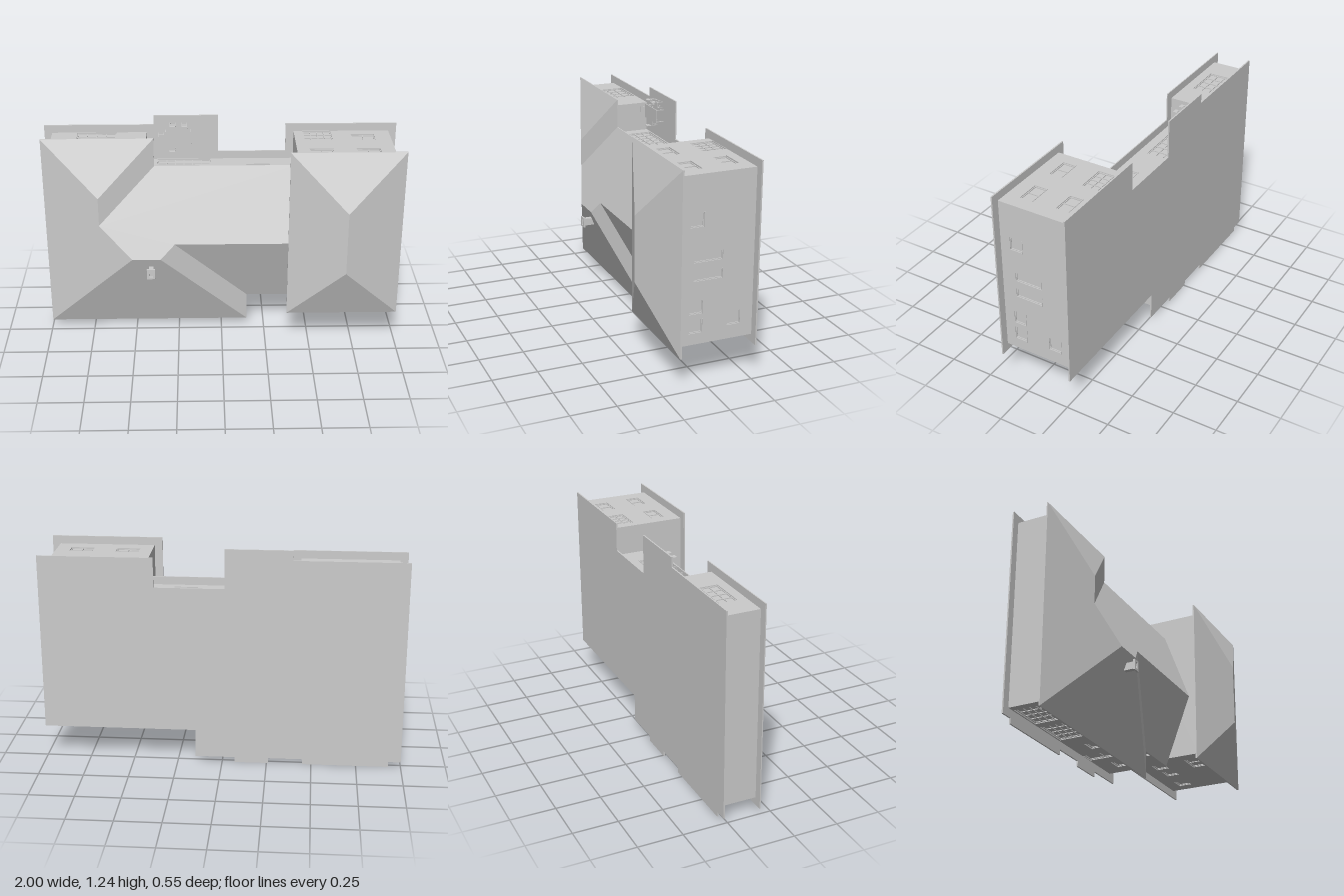
import * as THREE from 'three';

const grey = new THREE.MeshStandardMaterial({ color: 0xcccccc, flatShading: true, side: THREE.DoubleSide });
const GROUND = -0.265; // the house rests on its back: its own "up" is +z
const PITCH = 0.37;

function add(parent, name, geometry, x = 0, y = 0, z = 0) {
  const mesh = new THREE.Mesh(geometry, grey);
  mesh.name = name;
  mesh.position.set(x, y, z);
  parent.add(mesh);
  return mesh;
}

const box = (parent, name, w, h, d, x, y, z) => add(parent, name, new THREE.BoxGeometry(w, h, d), x, y, z);

const toShape = pts => new THREE.Shape(pts.map(p => new THREE.Vector2(p[0], p[1])));

function slab(parent, name, pts, z, depth) {
  return add(parent, name, new THREE.ExtrudeGeometry(toShape(pts), { depth, bevelEnabled: false }), 0, 0, z);
}

// Recessed pane with border, glazing bars and sill
function fillOpening(parent, name, u, v, w, h, cols, rows) {
  const g = new THREE.Group();
  g.name = name;
  g.position.set(u, v, 0);
  parent.add(g);
  box(g, 'pane', w, h, 0.002, 0, 0, -0.011);
  const b = 0.005;
  for (let i = 0; i <= cols; i++) box(g, 'upright', b, h, 0.006, -w / 2 + b / 2 + (w - b) * i / cols, 0, -0.008);
  for (let i = 0; i <= rows; i++) box(g, 'crossbar', w, b, 0.006, 0, -h / 2 + b / 2 + (h - b) * i / rows, -0.008);
  box(g, 'sill', w + 0.004, 0.003, 0.006, 0, -h / 2, 0);
}

// Wall from p to q, outside on the right hand; opening = [name, position along axis, z, width, height, cols, rows]
function wall(parent, name, p, q, top, openings = []) {
  const dir = new THREE.Vector3(q[0] - p[0], q[1] - p[1], 0);
  const len = dir.length();
  dir.normalize();
  const up = new THREE.Vector3(0, 0, 1);
  const g = new THREE.Group();
  g.name = name;
  g.applyMatrix4(new THREE.Matrix4().makeBasis(dir, up, dir.clone().cross(up)).setPosition(p[0], p[1], 0));
  parent.add(g);
  const shape = toShape([[0, GROUND], [len, GROUND], [len, top], [0, top]]);
  for (const [label, at, v, w, h, cols, rows] of openings) {
    const u = Math.abs(dir.x) > 0.5 ? (at - p[0]) * dir.x : (at - p[1]) * dir.y;
    const x0 = u - w / 2, x1 = u + w / 2, y0 = v - h / 2, y1 = v + h / 2;
    shape.holes.push(new THREE.Path([[x0, y0], [x0, y1], [x1, y1], [x1, y0]].map(c => new THREE.Vector2(...c))));
    fillOpening(g, label, u, v, w, h, cols, rows);
  }
  add(g, 'wallPanel', new THREE.ExtrudeGeometry(shape, { depth: 0.012, bevelEnabled: false }), 0, 0, -0.012);
}

// Roof from planar faces; every point is [x, y, run from the eave]
function roof(parent, name, base, faces) {
  const pos = [];
  for (const face of faces) {
    const flat = face.map(p => new THREE.Vector2(p[0], p[1]));
    for (const tri of THREE.ShapeUtils.triangulateShape(flat, []))
      for (const i of tri) pos.push(face[i][0], face[i][1], base + PITCH * face[i][2]);
  }
  const geo = new THREE.BufferGeometry();
  geo.setAttribute('position', new THREE.Float32BufferAttribute(pos, 3));
  geo.computeVertexNormals();
  add(parent, name, geo);
}

const single = (at, z, w = 0.075, h = 0.075) => ['window', at, z, w, h, 1, 1];
const double = (at, z) => ['doubleWindow', at, z, 0.13, 0.075, 2, 1];

function chair(parent, x, y, angle) {
  const g = new THREE.Group();
  g.name = 'chair';
  g.position.set(x, y, GROUND);
  g.rotation.z = angle;
  parent.add(g);
  box(g, 'seat', 0.032, 0.032, 0.003, 0, 0, 0.032);
  box(g, 'backrest', 0.032, 0.003, 0.022, 0, 0.016, 0.056);
  for (const sx of [-1, 1]) {
    box(g, 'frontLeg', 0.003, 0.003, 0.032, sx * 0.0145, -0.0145, 0.016);
    box(g, 'backLeg', 0.003, 0.003, 0.062, sx * 0.0145, 0.0155, 0.031);
  }
}

export function createModel() {
  const house = new THREE.Group();
  house.name = 'house';

  // Ground plate with driveway, path and patio
  slab(house, 'groundPlate', [
    [-1, 0.03], [-0.93, 0.03], [-0.93, 0], [-0.45, 0], [-0.45, 0.03], [-0.26, 0.03], [-0.26, 0], [-0.07, 0],
    [-0.07, 0.03], [0.15, 0.03], [0.15, 0.19], [1, 0.19], [1, 1.185], [0.37, 1.185], [0.37, 1.02],
    [-0.015, 1.02], [-0.015, 1.24], [-0.38, 1.24], [-0.38, 1.185], [-1, 1.185],
  ], -0.273, 0.008);

  // Tall wing
  const wing = new THREE.Group();
  wing.name = 'tallWing';
  house.add(wing);
  const wc = [[0.415, 0.235], [0.955, 0.235], [0.955, 1.14], [0.415, 1.14]];
  const wingOpenings = [
    [single(0.85, -0.15), single(0.655, -0.14), single(0.53, -0.15), double(0.555, 0.065)],
    [single(0.905, 0.055), single(0.705, -0.01, 0.05, 0.16), single(0.605, -0.01, 0.05, 0.16),
      single(0.335, 0.055), single(0.44, 0.055), single(0.348, -0.158)],
    [double(0.8, -0.17), double(0.81, 0.035), double(0.55, 0.035), ['patioDoor', 0.545, -0.195, 0.16, 0.13, 4, 3]],
    [],
  ];
  wc.forEach((p, i) => wall(wing, 'wall', p, wc[(i + 1) % 4], 0.152, wingOpenings[i]));
  const we = [[0.37, 0.19, 0], [1, 0.19, 0], [1, 1.185, 0], [0.37, 1.185, 0]];
  slab(wing, 'eaves', we, 0.15, 0.008);
  const w0 = [0.685, 0.505, 0.315], w1 = [0.685, 0.87, 0.315];
  roof(wing, 'roof', 0.158, [[we[0], we[1], w0], [we[1], we[2], w1, w0], [we[2], we[3], w1], [we[3], we[0], w0, w1]]);

  // Low main house
  const main = new THREE.Group();
  main.name = 'mainHouse';
  house.add(main);
  const mc = [[0.415, 0.975], [-0.42, 0.975], [-0.42, 1.14], [-0.955, 1.14], [-0.955, 0.075],
    [0.105, 0.075], [0.105, 0.235], [0.415, 0.235]];
  const mainOpenings = [
    [double(0.21, -0.14), ['patioDoor', -0.21, -0.185, 0.3, 0.14, 6, 3]],
    [],
    [['patioDoor', -0.7, -0.185, 0.22, 0.14, 4, 3]],
    [],
    [single(-0.01, -0.135), ['frontDoor', -0.17, -0.17, 0.08, 0.18, 1, 2], single(-0.32, -0.13),
      ['garageDoor', -0.565, -0.18, 0.2, 0.15, 4, 4], ['garageDoor', -0.815, -0.18, 0.2, 0.15, 4, 4]],
    [],
    [double(0.26, -0.15)],
  ];
  mainOpenings.forEach((o, i) => wall(main, 'wall', mc[i], mc[i + 1], -0.062, o));

  // Hipped main roof: eave corners, then ridge points
  const A = [-1, 0.03, 0], B = [0.15, 0.03, 0], C = [0.15, 0.19, 0], D = [0.415, 0.19, 0];
  const E = [0.415, 1.02, 0], F = [-0.375, 1.02, 0], G = [-0.375, 1.185, 0], H = [-1, 1.185, 0];
  const P = [-0.505, 0.525, 0.495], Q = [-0.345, 0.525, 0.495], R = [-0.265, 0.605, 0.415];
  const M = [0.415, 0.605, 0.415], S = [-0.6875, 0.8725, 0.3125], T = [-0.6875, 0.7075, 0.3125];
  slab(main, 'eaves', [A, B, C, D, E, F, G, H], -0.064, 0.006);
  roof(main, 'roof', -0.058, [[A, P, T, S, H], [A, B, Q, P], [B, C, R, Q], [C, D, M, R],
    [E, F, T, P, Q, R, M], [F, G, S, T], [G, H, S]]);

  // Chimney: shaft with an open rim
  box(main, 'chimneyShaft', 0.026, 0.042, 0.08, -0.4, 0.45, 0.112);
  const rim = toShape([[-0.423, 0.42], [-0.377, 0.42], [-0.377, 0.48], [-0.423, 0.48]]);
  rim.holes.push(new THREE.Path([[-0.41, 0.432], [-0.41, 0.468], [-0.39, 0.468], [-0.39, 0.432]]
    .map(c => new THREE.Vector2(...c))));
  add(main, 'chimneyRim', new THREE.ExtrudeGeometry(rim, { depth: 0.01, bevelEnabled: false }), 0, 0, 0.15);

  // Patio furniture
  const patio = new THREE.Group();
  patio.name = 'patioFurniture';
  house.add(patio);
  box(patio, 'tableTop', 0.155, 0.08, 0.004, -0.242, 1.12, -0.214);
  for (const sx of [-1, 1]) for (const sy of [-1, 1])
    box(patio, 'tableLeg', 0.004, 0.004, 0.05, -0.242 + sx * 0.07, 1.12 + sy * 0.034, -0.24);
  chair(patio, -0.272, 1.18, 0);
  chair(patio, -0.205, 1.18, 0);
  chair(patio, -0.275, 1.058, Math.PI);
  chair(patio, -0.338, 1.12, Math.PI / 2);

  return house;
}
